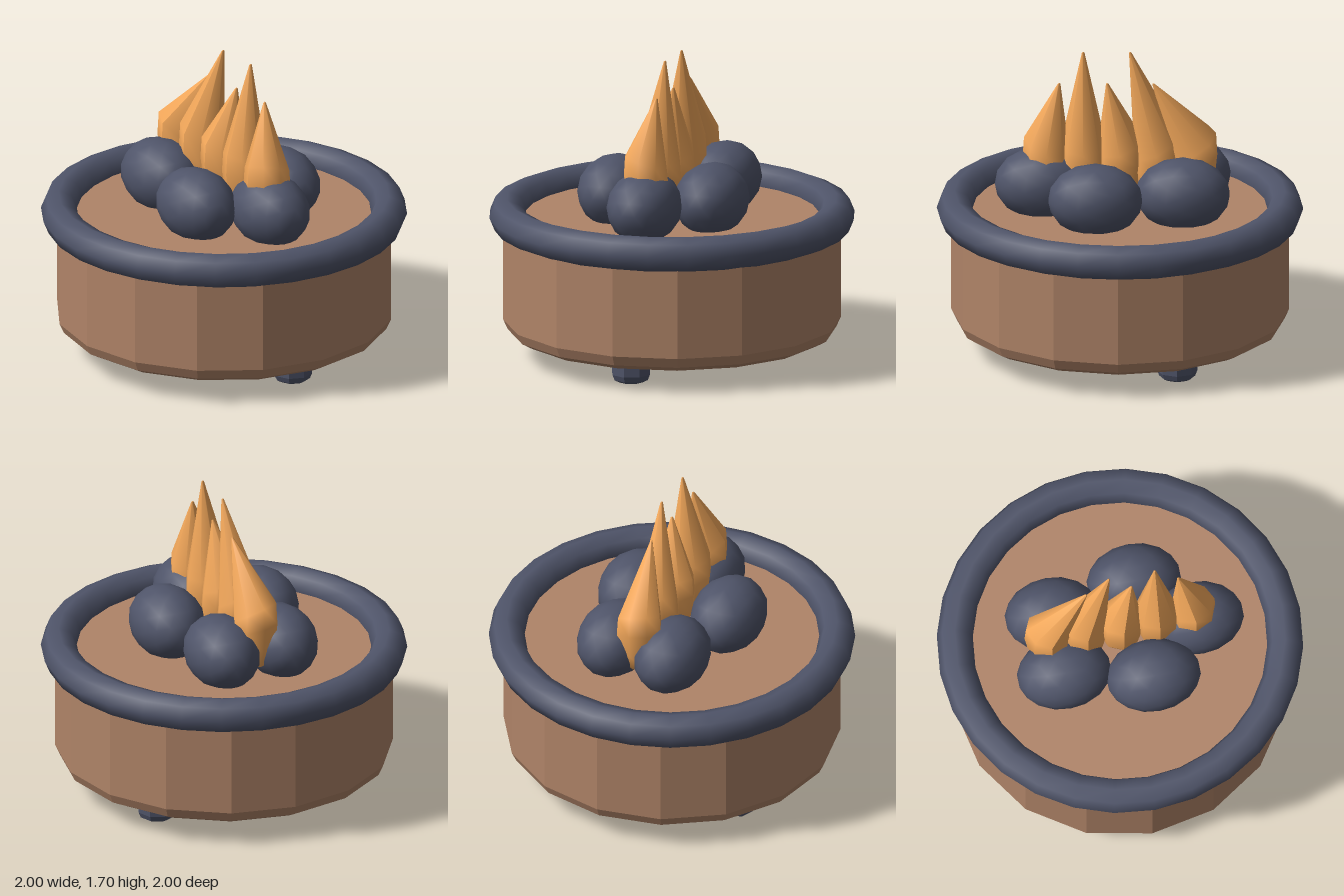
import * as THREE from 'three';
import { mergeVertices } from 'three/addons/utils/BufferGeometryUtils.js';

const clay = new THREE.MeshStandardMaterial({ color: 0xb08468, flatShading: true });
const stone = new THREE.MeshStandardMaterial({ color: 0x4f5469 });
const stoneFlat = new THREE.MeshStandardMaterial({ color: 0x4f5469, flatShading: true });
const fire = new THREE.MeshStandardMaterial({ color: 0xf5a95b });

function lathe(points, sides) {
  return new THREE.LatheGeometry(points.map(([r, y]) => new THREE.Vector2(r, y)), sides);
}

// Icosphere with shared vertices, so its normals are smooth
function smoothBall(rx, ry, rz) {
  const g = new THREE.IcosahedronGeometry(1, 2);
  g.deleteAttribute('uv');
  g.deleteAttribute('normal');
  const ball = mergeVertices(g, 1e-3);
  ball.scale(rx, ry, rz);
  ball.computeVertexNormals();
  return ball;
}

// Teardrop whose rings lean and tilt toward an offset tip
function flameGeometry(lean, tipY) {
  const g = lathe([[0, 0.84], [0.08, 0.86], [0.115, 0.95], [0.13, 1.06], [0.123, 1.16], [0.007, tipY - 0.005], [0, tipY]], 8);
  const p = g.attributes.position;
  const tilt = THREE.MathUtils.clamp(lean * 4, -0.5, 0.5);
  for (let i = 0; i < p.count; i++) {
    const x = p.getX(i), y = p.getY(i), z = p.getZ(i);
    const t = Math.max(0, (y - 1.16) / (tipY - 1.16));
    const low = THREE.MathUtils.clamp((y - 0.9) / 0.26, 0, 1);
    p.setXYZ(i, x + lean * t, y + (z * 0.3 - x * tilt) * low * (1 - t), z - 0.035 * t);
  }
  g.computeVertexNormals();
  return g;
}

export function createModel() {
  const model = new THREE.Group();
  const add = (name, geometry, material, x = 0, y = 0, z = 0) => {
    const mesh = new THREE.Mesh(geometry, material);
    mesh.name = name;
    mesh.position.set(x, y, z);
    model.add(mesh);
    return mesh;
  };

  // Faceted bowl with bevelled edges and a closed top
  add('bowl', lathe([[0, 0.12], [0.84, 0.12], [0.895, 0.15], [0.92, 0.205], [0.92, 0.7], [0.89, 0.77], [0.85, 0.78], [0, 0.78]], 16), clay);

  // Thick rim
  const rim = new THREE.TorusGeometry(0.9, 0.098, 8, 28);
  rim.rotateX(Math.PI / 2);
  add('rim', rim, stone, 0, 0.787, 0);

  // Three stubby feet
  const foot = lathe([[0, 0], [0.07, 0], [0.098, 0.015], [0.11, 0.045], [0.11, 0.14], [0, 0.14]], 8);
  for (let i = 0; i < 3; i++) {
    const a = (i * Math.PI * 2) / 3;
    add('foot', foot, stoneFlat, 0.635 * Math.cos(a), 0, 0.635 * Math.sin(a));
  }

  // Ring of five stones, squashed front to back
  const rock = smoothBall(0.26, 0.2, 0.2);
  for (let i = 0; i < 5; i++) {
    const a = (i * Math.PI * 2) / 5;
    add('stone', rock, stone, 0.425 * Math.cos(a), 0.93, 0.295 * Math.sin(a));
  }

  // Row of flames, each with [centre x, tip x, tip height]
  const flames = [[-0.4, -0.18, 1.52], [-0.2, -0.055, 1.7], [0, 0.07, 1.52], [0.2, 0.2, 1.7], [0.4, 0.33, 1.52]];
  for (const [x, tipX, tipY] of flames) add('flame', flameGeometry(tipX - x, tipY), fire, x);

  return model;
}
